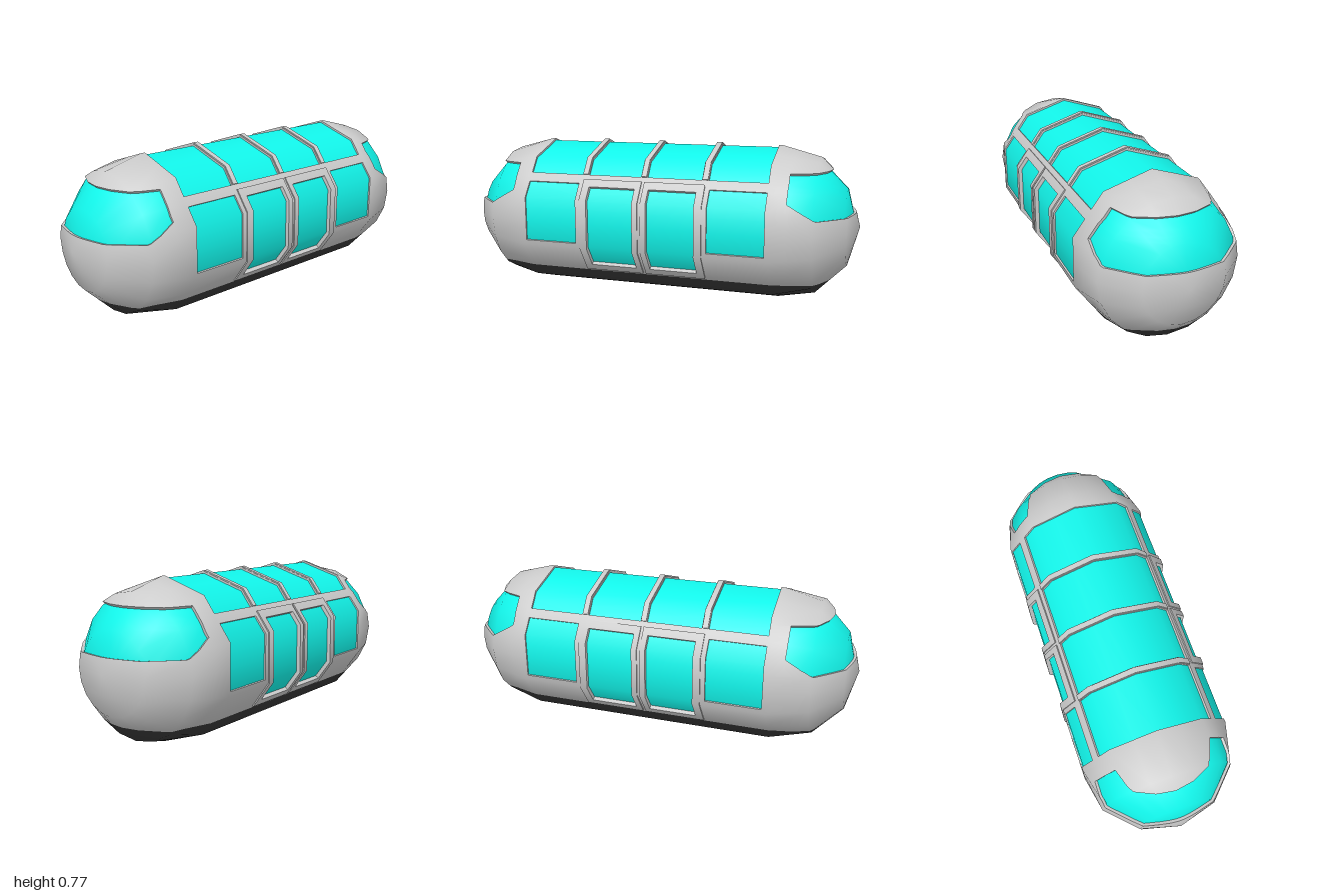
import * as THREE from 'three';

const R = 0.3825, HALF = 0.6175, SIDES = 20;
const grey = new THREE.MeshStandardMaterial({ color: 0xcccccc });
const edgeGrey = new THREE.MeshStandardMaterial({ color: 0xcccccc, side: THREE.DoubleSide });
const glass = new THREE.MeshStandardMaterial({ color: 0x12f5ea });
const dark = new THREE.MeshStandardMaterial({ color: 0x383838 });

// Capsule lying along z: ten-sided tube, rounder domed ends
function capsule() {
  const rings = [];
  for (const s of [-1, 1]) for (let k = 0; k <= 3; k++) {
    const t = (s < 0 ? 3 - k : k) * Math.PI / 6;
    rings.push({ z: s * (HALF + R * Math.sin(t)), r: R * Math.cos(t), nz: s * Math.sin(t), tube: t === 0 });
  }
  const vert = (g, i) => {
    const a = i / SIDES * Math.PI * 2;
    const r = g.r * (g.tube && i % 2 ? Math.cos(Math.PI / 10) : 1);
    const nr = Math.sqrt(Math.max(0, 1 - g.nz * g.nz));
    return {
      p: new THREE.Vector3(Math.sin(a) * r, R + Math.cos(a) * r, g.z),
      n: new THREE.Vector3(Math.sin(a) * nr, Math.cos(a) * nr, g.nz),
    };
  };
  const polys = [];
  for (let j = 0; j < rings.length - 1; j++) for (let i = 0; i < SIDES; i++) {
    const a = vert(rings[j], i), b = vert(rings[j + 1], i);
    const c = vert(rings[j + 1], i + 1), d = vert(rings[j], i + 1);
    if (rings[j + 1].r > 1e-6) polys.push([a, b, c]);
    if (rings[j].r > 1e-6) polys.push([a, c, d]);
  }
  return polys;
}

// Half-planes of a convex outline given as counter-clockwise [z, y] points
const halfPlanes = (pts) => pts.map(([z0, y0], i) => {
  const [z1, y1] = pts[(i + 1) % pts.length], len = Math.hypot(z1 - z0, y1 - y0);
  return (p) => ((z1 - z0) * (p.y - y0) - (y1 - y0) * (p.z - z0)) / len;
});
const rect = (z0, z1, y0, y1) => [[z0, y0], [z1, y0], [z1, y1], [z0, y1]];
const mirror = (pts) => pts.map(([z, y]) => [-z, y]).reverse();

// Cut one polygon in two by a half-plane
function split(poly, f) {
  const inside = [], outside = [];
  poly.forEach((a, i) => {
    const b = poly[(i + 1) % poly.length], fa = f(a.p), fb = f(b.p);
    if (fa >= -1e-7) inside.push(a);
    if (fa <= 1e-7) outside.push(a);
    if ((fa > 1e-7 && fb < -1e-7) || (fa < -1e-7 && fb > 1e-7)) {
      const t = fa / (fa - fb);
      const m = { p: a.p.clone().lerp(b.p, t), n: a.n.clone().lerp(b.n, t).normalize() };
      inside.push(m);
      outside.push(m);
    }
  });
  return [inside, outside];
}

// Separate the surface into the part within an outline and the rest
function carve(polys, planes) {
  const inside = [], outside = [];
  for (let poly of polys) {
    for (const f of planes) {
      const [i, o] = split(poly, f);
      if (o.length > 2) outside.push(o);
      poly = i;
      if (poly.length < 3) break;
    }
    if (poly.length > 2) inside.push(poly);
  }
  return [inside, outside];
}

const lift = (v, d) => v.p.clone().addScaledVector(v.n, d);

function toMesh(name, material, polys, offset = 0) {
  const pos = [], nor = [];
  for (const poly of polys) for (let i = 1; i < poly.length - 1; i++)
    for (const v of [poly[0], poly[i], poly[i + 1]]) {
      pos.push(...lift(v, offset).toArray());
      nor.push(...v.n.toArray());
    }
  const geo = new THREE.BufferGeometry();
  geo.setAttribute('position', new THREE.Float32BufferAttribute(pos, 3));
  geo.setAttribute('normal', new THREE.Float32BufferAttribute(nor, 3));
  const mesh = new THREE.Mesh(geo, material);
  mesh.name = name;
  return mesh;
}

// Walls around an outline, joining two surface heights
function rim(name, polys, planes, low, high) {
  const pos = [];
  for (const poly of polys) poly.forEach((a, i) => {
    const b = poly[(i + 1) % poly.length];
    if (!planes.some((f) => Math.abs(f(a.p)) < 1e-5 && Math.abs(f(b.p)) < 1e-5)) return;
    const [a0, a1, b0, b1] = [lift(a, low), lift(a, high), lift(b, low), lift(b, high)];
    for (const v of [a0, b0, b1, a0, b1, a1]) pos.push(...v.toArray());
  });
  const geo = new THREE.BufferGeometry();
  geo.setAttribute('position', new THREE.Float32BufferAttribute(pos, 3));
  geo.computeVertexNormals();
  const mesh = new THREE.Mesh(geo, edgeGrey);
  mesh.name = name;
  return mesh;
}

export function createModel() {
  const group = new THREE.Group();
  let shell = capsule();

  // Take a panel out of the shell and put it back sunken or raised
  const panel = (name, outline, material, offset) => {
    const planes = halfPlanes(outline);
    const [inside, rest] = carve(shell, planes);
    shell = rest;
    group.add(toMesh(name, material, inside, offset));
    if (offset) group.add(rim(name + 'Rim', inside, planes, Math.min(0, offset), Math.max(0, offset)));
  };

  // Dark underside
  panel('underside', rect(-2, 2, -1, 0.132), dark, 0);

  const windscreen = [[0.82, 0.455], [1.2, 0.455], [1.2, 0.657], [0.69, 0.657], [0.69, 0.53]];
  const roofNear = rect(0.016, 0.287, 0.617, 1);
  const roofFar = rect(0.32, 0.6, 0.617, 1);
  const roofRib = rect(0.29, 0.317, 0.617, 1);
  const sideWindow = rect(0.33, 0.6, 0.285, 0.577);
  const door = rect(0.007, 0.307, 0.142, 0.595);
  const doorGlass = rect(0.035, 0.27, 0.172, 0.562);

  for (const [end, m] of [['front', (o) => o], ['rear', mirror]]) {
    panel(end + 'Windscreen', m(windscreen), glass, -0.014);
    panel(end + 'InnerRoofGlass', m(roofNear), glass, -0.01);
    panel(end + 'OuterRoofGlass', m(roofFar), glass, -0.01);
    panel(end + 'RoofRib', m(roofRib), grey, 0.006);
    panel(end + 'SideWindows', m(sideWindow), glass, -0.008);

    // Doors on both flanks: raised frame around sunken glass
    const framePlanes = halfPlanes(m(door)), panePlanes = halfPlanes(m(doorGlass));
    const [whole, rest] = carve(shell, framePlanes);
    shell = rest;
    const [pane, frame] = carve(whole, panePlanes);
    group.add(toMesh(end + 'DoorFrames', grey, frame, 0.006));
    group.add(rim(end + 'DoorFrameRim', whole, framePlanes, -0.004, 0.006));
    group.add(toMesh(end + 'DoorGlass', glass, pane, -0.014));
    group.add(rim(end + 'DoorGlassRim', pane, panePlanes, -0.014, 0.006));
  }
  panel('middleRoofRib', rect(-0.013, 0.013, 0.617, 1), grey, 0.006);

  // Whatever is left is the hull
  group.add(toMesh('hull', grey, shell));
  return group;
}
